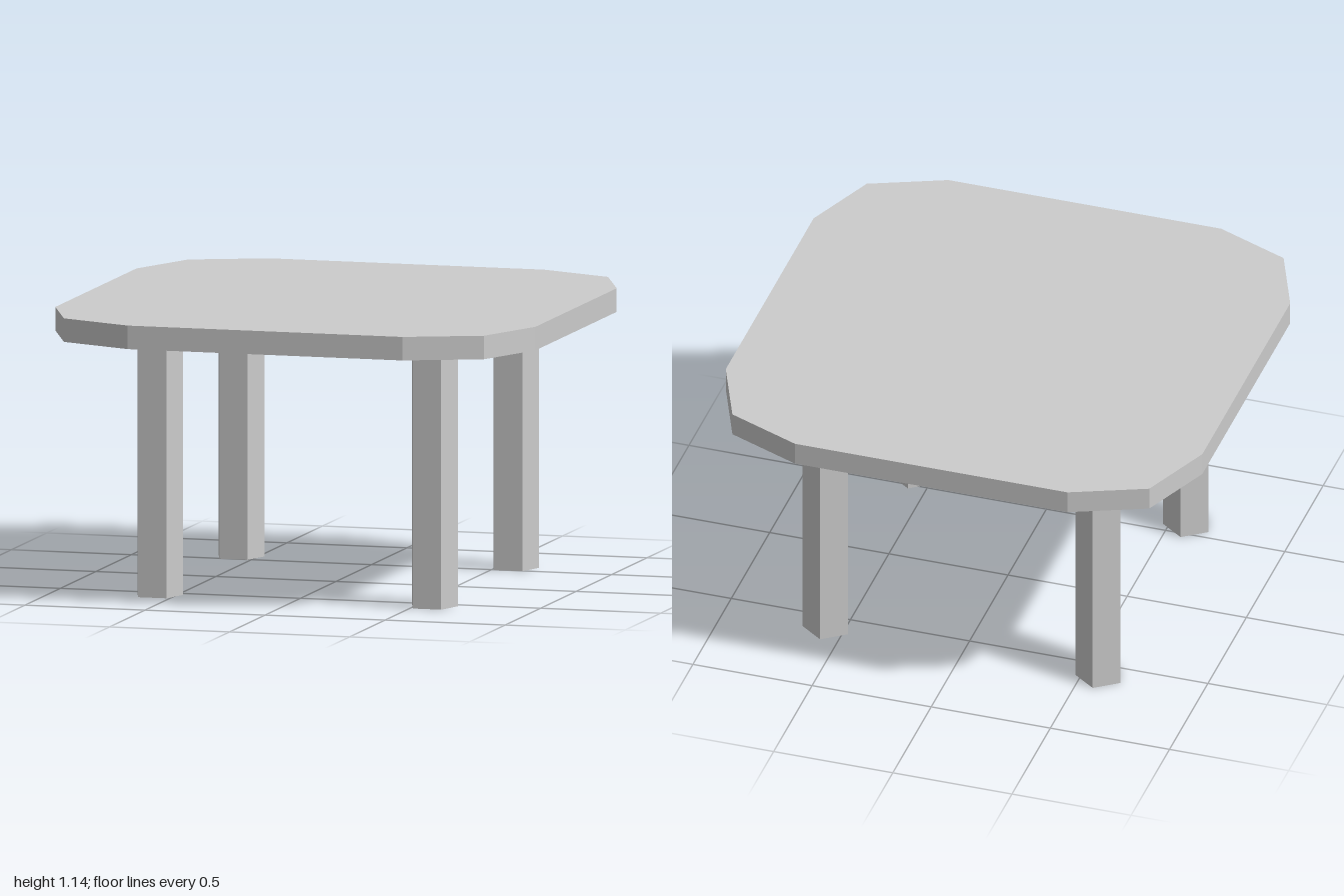
import * as THREE from 'three';

const LEG_HEIGHT = 1.05;
const TOP_THICKNESS = 0.095;
const INSET = 0.572; // centre of each corner arc and of each leg
const CORNER_RADIUS = 1 - INSET;

export function createModel() {
  const group = new THREE.Group();
  const material = new THREE.MeshStandardMaterial({ color: 0xcccccc, flatShading: true });

  // Tabletop: square whose corners are arcs of two straight segments
  const outline = [];
  for (let corner = 0; corner < 4; corner++) {
    const mid = Math.PI / 4 + corner * Math.PI / 2;
    const cx = INSET * Math.SQRT2 * Math.cos(mid);
    const cy = INSET * Math.SQRT2 * Math.sin(mid);
    for (const step of [-1, 0, 1]) {
      const a = mid + step * Math.PI / 4;
      outline.push(new THREE.Vector2(cx + CORNER_RADIUS * Math.cos(a), cy + CORNER_RADIUS * Math.sin(a)));
    }
  }
  const topGeometry = new THREE.ExtrudeGeometry(new THREE.Shape(outline), {
    depth: TOP_THICKNESS,
    bevelEnabled: false,
  });
  topGeometry.rotateX(-Math.PI / 2);
  const top = new THREE.Mesh(topGeometry, material);
  top.name = 'tabletop';
  top.position.y = LEG_HEIGHT;
  group.add(top);

  // Legs: five-sided prisms, each with a flat side to the front
  const legGeometry = new THREE.CylinderGeometry(0.1, 0.1, LEG_HEIGHT, 5, 1, false, Math.PI);
  for (const [zName, z] of [['front', INSET], ['back', -INSET]]) {
    for (const [xName, x] of [['Left', INSET], ['Right', -INSET]]) {
      const leg = new THREE.Mesh(legGeometry, material);
      leg.name = `${zName}${xName}Leg`;
      leg.position.set(x, LEG_HEIGHT / 2, z);
      group.add(leg);
    }
  }
  return group;
}
